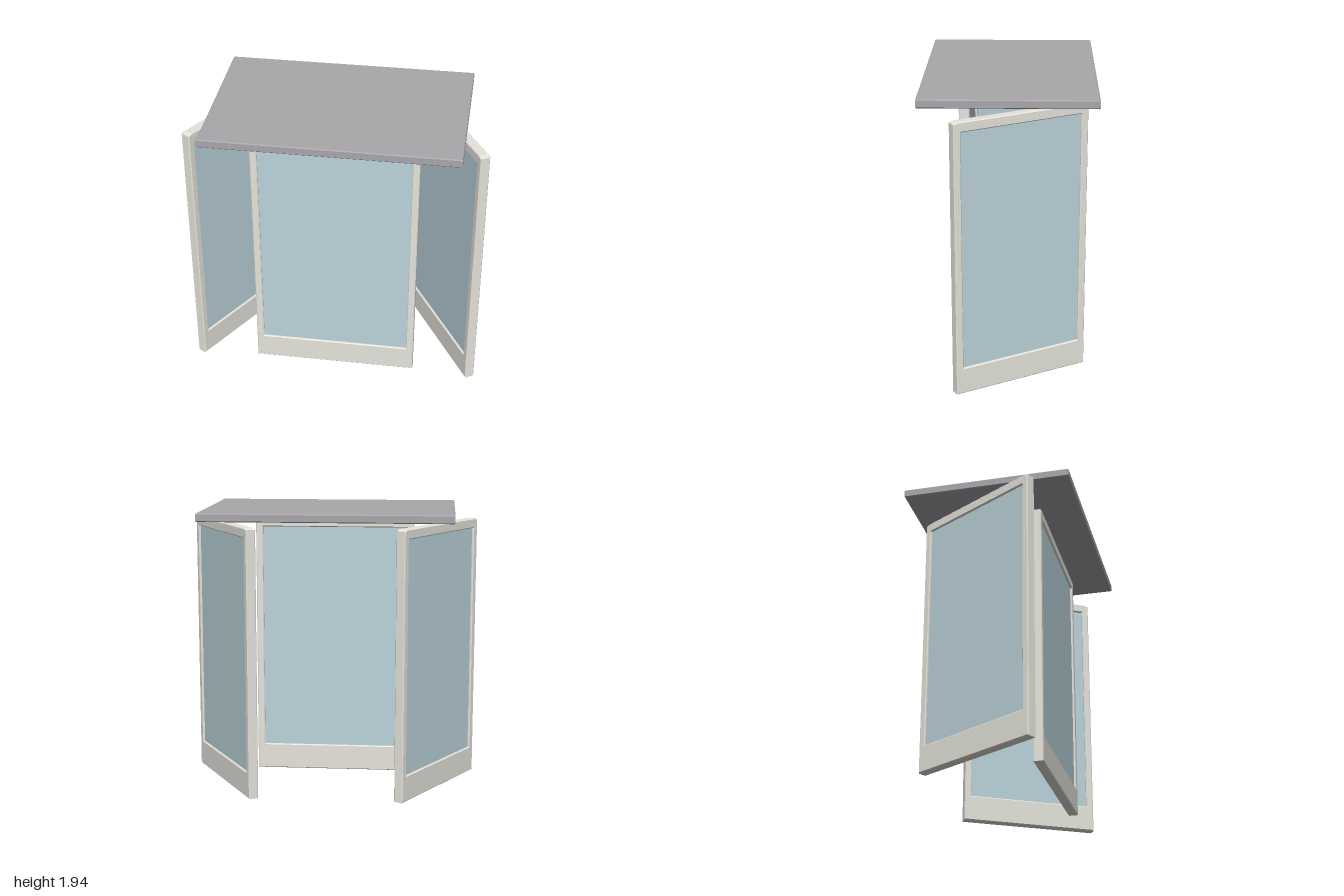
import * as THREE from 'three';

const BEVEL = 0.006;
const material = (color) => new THREE.MeshStandardMaterial({ color, flatShading: true });

// Extrudes a shape, centred in depth, with narrow chamfered edges
function slab(shape, depth) {
  const geometry = new THREE.ExtrudeGeometry(shape, {
    depth: depth - 2 * BEVEL,
    bevelThickness: BEVEL,
    bevelSize: BEVEL,
    bevelOffset: -BEVEL,
    bevelSegments: 1,
  });
  return geometry.translate(0, 0, BEVEL - depth / 2);
}

const polygon = (points) => points.map(([x, y]) => new THREE.Vector2(x, y));

export function createModel() {
  const model = new THREE.Group();
  model.name = 'glazedShelter';
  const frameMaterial = material(0xe6e4dc);
  const glassMaterial = material(0xbcd4dc);
  const roofMaterial = material(0xaaa7ac);

  const top = 1.838, thickness = 0.068, stile = 0.05;
  const glassBottom = 0.18, glassTop = 1.772;

  // Framed pane with a deep bottom rail and slightly sloped top corners
  function panel(name, width, x, z, angle) {
    const w = width / 2, g = w - stile;
    const outline = new THREE.Shape(polygon([
      [-w, 0], [w, 0], [w, top - 0.01], [w - 0.03, top], [-w + 0.03, top], [-w, top - 0.01],
    ]));
    outline.holes.push(new THREE.Path(polygon([
      [-g, glassBottom], [-g, glassTop], [g, glassTop], [g, glassBottom],
    ])));
    const frame = new THREE.Mesh(slab(outline, thickness), frameMaterial);
    frame.name = 'frame';

    const glass = new THREE.Mesh(
      new THREE.BoxGeometry(2 * g + 0.01, glassTop - glassBottom + 0.01, 0.04), glassMaterial);
    glass.position.y = (glassBottom + glassTop) / 2;
    glass.name = 'glass';

    const group = new THREE.Group();
    group.name = name;
    group.add(frame, glass);
    group.position.set(x, 0, z);
    group.rotation.y = angle;
    model.add(group);
  }

  // Front pane and two splayed side panes
  panel('frontPanel', 1.12, 0, 0.285, 0);
  for (const side of [1, -1]) {
    panel(side > 0 ? 'leftPanel' : 'rightPanel', 0.966, side * 0.73, -0.075, -side * Math.PI / 3);
  }

  // Flat roof floating above the panes
  const roofShape = new THREE.Shape(polygon([
    [-0.838, -0.569], [0.838, -0.569], [0.838, 0.569], [-0.838, 0.569],
  ]));
  const roof = new THREE.Mesh(slab(roofShape, 0.056), roofMaterial);
  roof.name = 'roof';
  roof.rotation.x = -Math.PI / 2;
  roof.position.y = 1.912;
  model.add(roof);

  return model;
}
